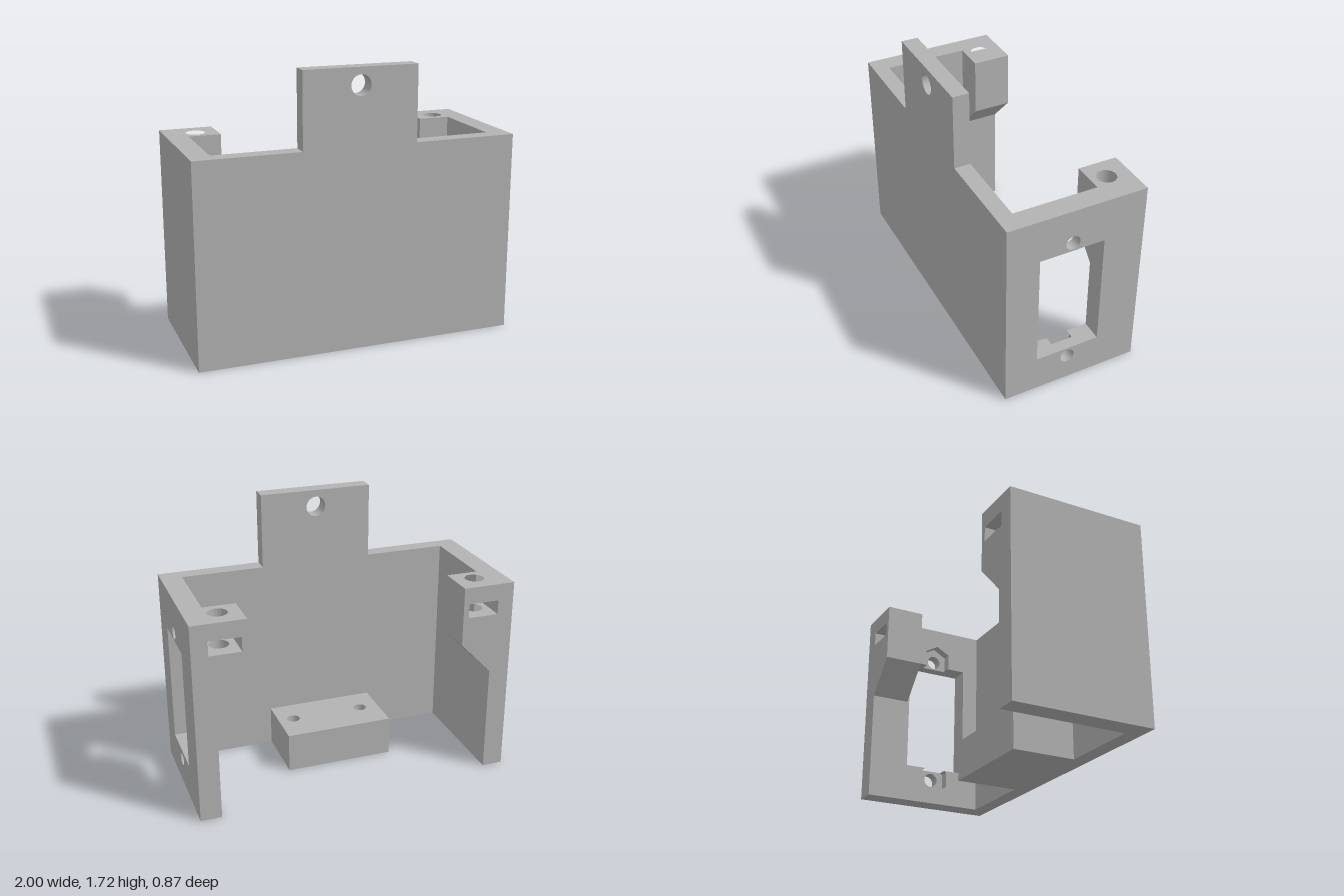
import * as THREE from 'three';

const plastic = new THREE.MeshStandardMaterial({ color: 0xb2b2b2 });
plastic.name = 'grey plastic';

const polygon = (points) => new THREE.Shape(points.map(([x, y]) => new THREE.Vector2(x, y)));
const rect = (x0, y0, x1, y1) => polygon([[x0, y0], [x1, y0], [x1, y1], [x0, y1]]);
const circle = (x, y, r) => new THREE.Path().absarc(x, y, r, 0, Math.PI * 2, true);

// Extrudes a shape from lo to hi along an axis.
// Along 'y' the shape is drawn in (x, -z); along 'x' in (-z, y); along 'z' in (x, y).
function slab(name, shape, holes, axis, lo, hi) {
  shape.holes.push(...holes);
  const geometry = new THREE.ExtrudeGeometry(shape, { depth: hi - lo, bevelEnabled: false, curveSegments: 32 });
  geometry.translate(0, 0, lo);
  if (axis === 'y') geometry.rotateX(-Math.PI / 2);
  if (axis === 'x') geometry.rotateY(Math.PI / 2);
  const mesh = new THREE.Mesh(geometry, plastic);
  mesh.name = name;
  return mesh;
}

// Rear post with a screw hole, a nut slot and a chamfered underside; s is the side (+1 or -1)
function createPost(s, name) {
  const post = new THREE.Group();
  post.name = name;
  const plan = () => rect(s * 0.67, 0.19, s, 0.435);
  const screwHole = () => circle(s * 0.805, 0.29, 0.06);
  const slotPlan = polygon([
    [0.67, 0.19], [1, 0.19], [1, 0.435], [0.9, 0.435],
    [0.9, 0.205], [0.705, 0.205], [0.705, 0.435], [0.67, 0.435],
  ].map(([x, y]) => [s * x, y]));
  const lowerProfile = polygon([
    [1, 0], [1, 0.95], [0.67, 0.95], [0.67, 0.885], [0.87, 0.68], [0.87, 0],
  ].map(([x, y]) => [s * x, y]));
  post.add(
    slab('postTop', plan(), [screwHole()], 'y', 1.15, 1.255),
    slab('nutSlot', slotPlan, [], 'y', 1.06, 1.15),
    slab('postMiddle', plan(), [screwHole()], 'y', 0.95, 1.06),
    slab('postLower', lowerProfile, [], 'z', -0.435, -0.19),
  );
  return post;
}

// Side wall with a window, two screw holes and hexagonal nut pockets inside
function createWindowWall() {
  const wall = new THREE.Group();
  wall.name = 'leftWall';
  const c = -0.025, bottom = 0.235, top = 0.98, front = -0.23, back = 0.177;
  const holeY = [0.175, 1.035], r = 0.1;
  const outline = () => rect(-0.335, 0, 0.19, 1.255);

  // Part of a nut pocket that reaches beyond the window edge; d points away from the window
  const pocket = (y, edge, d) => {
    const w = r * Math.cos(Math.PI / 6);
    const cut = (r - Math.abs(edge - y)) * Math.sqrt(3);
    return [[-cut, edge], [-w, y - d * r / 2], [-w, y + d * r / 2], [0, y + d * r],
      [w, y + d * r / 2], [w, y - d * r / 2], [cut, edge]].map(([u, v]) => [c + u, v]);
  };
  const inner = polygon([
    [front, bottom], ...pocket(holeY[0], bottom, -1), [back, bottom],
    [back, top], ...pocket(holeY[1], top, 1).reverse(), [front, top],
  ]);
  wall.add(
    slab('wallOuterLayer', outline(),
      [rect(front, bottom, back, top), ...holeY.map((y) => circle(c, y, 0.045))], 'x', 0.93, 1),
    slab('wallInnerLayer', outline(), [inner], 'x', 0.87, 0.93),
  );
  return wall;
}

export function createModel() {
  const model = new THREE.Group();
  model.name = 'mountingBracket';

  // Front plate with hanging tab
  const frontShape = polygon([
    [-1, 0], [1, 0], [1, 1.255], [0.355, 1.255], [0.355, 1.72],
    [-0.355, 1.72], [-0.355, 1.255], [-1, 1.255],
  ]);
  model.add(slab('frontPlate', frontShape, [circle(0, 1.615, 0.062)], 'z', 0.335, 0.435));

  // Side walls and rear posts
  model.add(createWindowWall());
  model.add(slab('rightWall', rect(-0.335, 0, 0.19, 1.255), [], 'x', -1, -0.87));
  model.add(createPost(1, 'leftPost'), createPost(-1, 'rightPost'));

  // Inner block with two blind holes
  const block = new THREE.Group();
  block.name = 'innerBlock';
  const blockPlan = () => rect(-0.36, -0.335, 0.33, 0.065);
  block.add(
    slab('blockTop', blockPlan(), [-0.235, 0.23].map((x) => circle(x, -0.15, 0.042)), 'y', 0.05, 0.25),
    slab('blockBase', blockPlan(), [], 'y', 0, 0.05),
  );
  model.add(block);
  return model;
}
